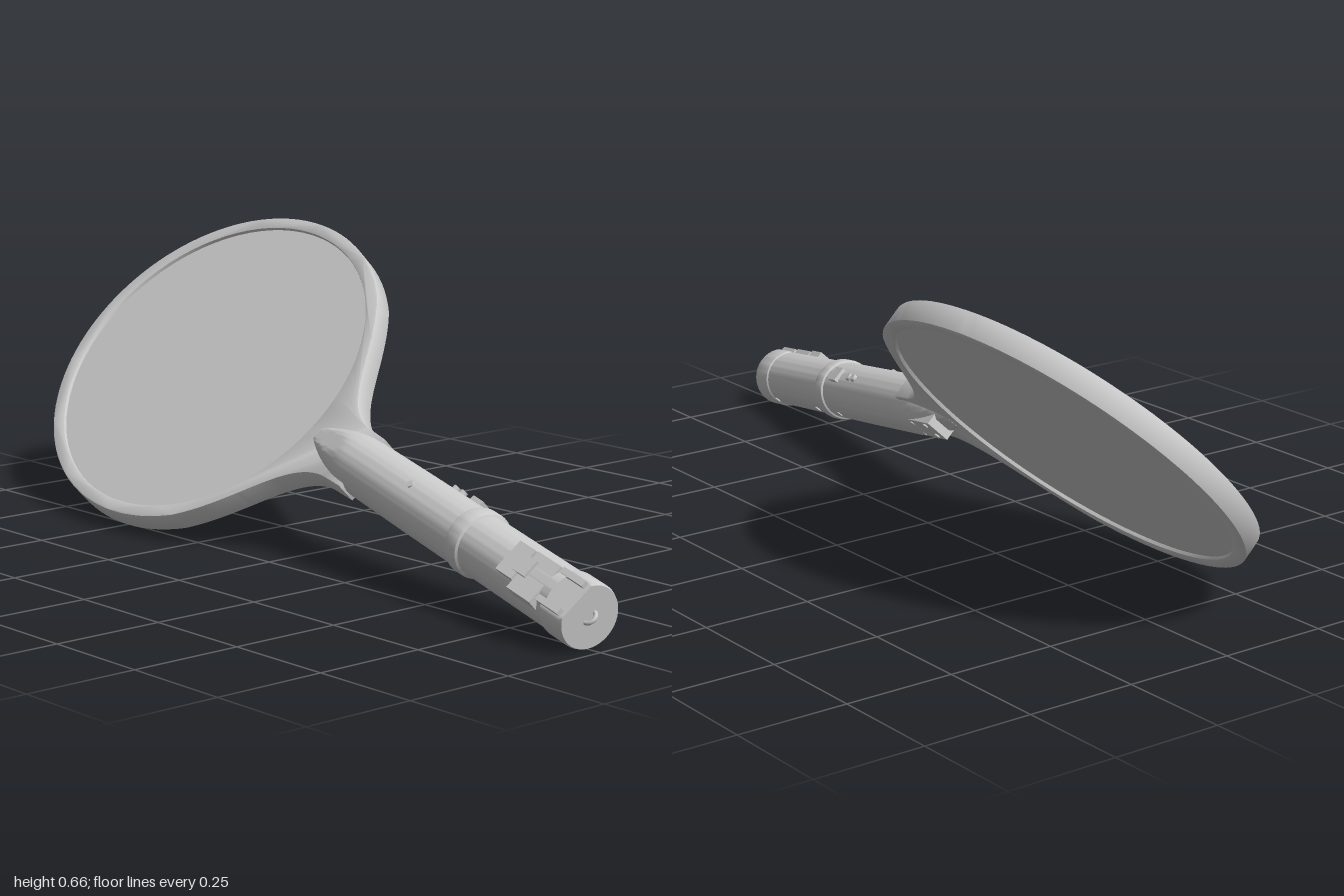
import * as THREE from 'three';
import { toCreasedNormals } from 'three/addons/utils/BufferGeometryUtils.js';

const grey = new THREE.MeshStandardMaterial({ color: 0xcccccc });

// Local axes: x runs from the head to the butt, y across the face, z out of the front face.
const HALF = 0.0265;
const A = 0.505, B = 0.43;

export function createModel() {
  const model = new THREE.Group();
  const racket = new THREE.Group();
  racket.name = 'racket';
  model.add(racket);

  const add = (name, geometry, x = 0, y = 0, z = 0) => {
    const mesh = new THREE.Mesh(geometry, grey);
    mesh.name = name;
    mesh.position.set(x, y, z);
    racket.add(mesh);
    return mesh;
  };
  const box = (name, sx, sy, sz, x, y, z) => add(name, new THREE.BoxGeometry(sx, sy, sz), x, y, z);

  // Solid of revolution along x from [radius, x] pairs, with an optional rule for each vertex
  const turned = (profile, rule) => {
    const g = new THREE.LatheGeometry(profile.map(([r, x]) => new THREE.Vector2(r, x)), 64);
    g.rotateZ(-Math.PI / 2);
    if (rule) {
      const p = g.attributes.position;
      const v = new THREE.Vector3();
      for (let i = 0; i < p.count; i++) {
        rule(v.fromBufferAttribute(p, i));
        p.setXYZ(i, v.x, v.y, v.z);
      }
    }
    return toCreasedNormals(g, 0.6);
  };

  // Head frame: an oval that flares into a neck and a tang
  const outline = new THREE.Shape();
  const start = Math.acos(0.31 / A);
  for (let i = 0; i <= 80; i++) {
    const a = start + (2 * Math.PI - 2 * start) * i / 80;
    const x = A * Math.cos(a), y = B * Math.sin(a);
    if (i) outline.lineTo(x, y); else outline.moveTo(x, y);
  }
  outline.bezierCurveTo(0.45, -0.23, 0.49, -0.085, 0.62, -0.073);
  outline.lineTo(0.69, -0.071);
  outline.lineTo(0.69, 0.071);
  outline.lineTo(0.62, 0.073);
  outline.bezierCurveTo(0.49, 0.085, 0.45, 0.23, 0.31, B * Math.sin(start));
  const opening = new THREE.Path();
  opening.absellipse(0, 0, 0.467, 0.4, 0, Math.PI * 2, true);
  outline.holes.push(opening);
  const frame = new THREE.ExtrudeGeometry(outline, {
    depth: 2 * HALF - 0.006, bevelEnabled: true, bevelThickness: 0.003,
    bevelSize: 0.003, bevelOffset: -0.003, bevelSegments: 2, curveSegments: 40,
  });
  frame.translate(0, 0, -HALF + 0.003);
  add('headFrame', toCreasedNormals(frame, 0.6));

  // Screen set slightly below both faces of the frame
  const screen = new THREE.CylinderGeometry(1, 1, 0.036, 80);
  screen.rotateX(Math.PI / 2);
  screen.scale(0.469, 0.402, 1);
  add('screen', screen);

  // Front grip: its upper end is cut on a slant to clasp the neck
  const grip = [[0, 0.5], [0.03, 0.5]];
  for (let i = 1; i <= 16; i++) {
    const t = i / 16;
    grip.push([0.03 + 0.036 * Math.sin(t * Math.PI / 2), 0.5 + 0.18 * t]);
  }
  grip.push([0.067, 0.9], [0.067, 1.11]);
  add('upperGrip', turned(grip, (v) => {
    const limit = 0.027 + Math.max(0, v.x - 0.5) * 0.25;
    v.z = THREE.MathUtils.clamp(v.z, -limit, limit);
  }));

  // Collar, lower grip and butt cap
  add('collar', turned([[0.066, 1.105], [0.071, 1.108], [0.073, 1.115], [0.073, 1.14],
    [0.071, 1.147], [0.063, 1.152]]));
  add('lowerGrip', turned([[0.066, 1.14], [0.066, 1.46]]));
  add('buttCap', turned([[0.064, 1.445], [0.069, 1.45], [0.07, 1.456], [0.07, 1.515],
    [0.067, 1.523], [0, 1.523]], (v) => { v.z = Math.min(v.z, 0.052); }));

  // Battery latch on the front near the butt
  box('latchBase', 0.055, 0.075, 0.03, 1.325, 0, 0.054);
  box('latchPlate', 0.08, 0.095, 0.03, 1.395, -0.008, 0.05);
  box('latchTab', 0.04, 0.04, 0.012, 1.36, 0, 0.066);
  for (const side of [-1, 1]) {
    box('latchRail', 0.075, 0.014, 0.024, 1.475, side * 0.036, 0.05);
  }

  // Back tongue with its four screws
  box('backTongue', 0.15, 0.062, 0.045, 0.615, 0, -0.034);
  const disc = (r, h) => {
    const g = new THREE.CylinderGeometry(r, r, h, 16);
    g.rotateX(Math.PI / 2);
    return g;
  };
  for (const x of [0.57, 0.635]) {
    for (const y of [-0.019, 0.019]) add('tongueScrew', disc(0.007, 0.006), x, y, -0.057);
  }
  for (const x of [1.06, 1.19, 1.44]) add('gripScrew', disc(0.008, 0.008), x, 0, -0.065);

  // Indicator on the front, buttons and slide switch on the side
  add('indicator', disc(0.008, 0.008), 0.915, 0.01, 0.066);
  for (const x of [0.955, 0.982]) {
    add('sideLight', new THREE.CylinderGeometry(0.009, 0.009, 0.014, 16), x, 0.068, 0);
  }
  box('sideSwitch', 0.036, 0.014, 0.036, 1.05, 0.068, 0);

  // Strap loop on the butt
  const loop = add('strapLoop', new THREE.TorusGeometry(0.014, 0.0045, 10, 24, Math.PI), 1.522, 0, 0);
  loop.rotation.z = -Math.PI / 2;

  // Lean the racket back and swing the grip down to its left
  racket.rotation.set(-Math.PI / 4, 0, -0.25);
  racket.position.set(-0.497, 0.345, -0.008);
  return model;
}
